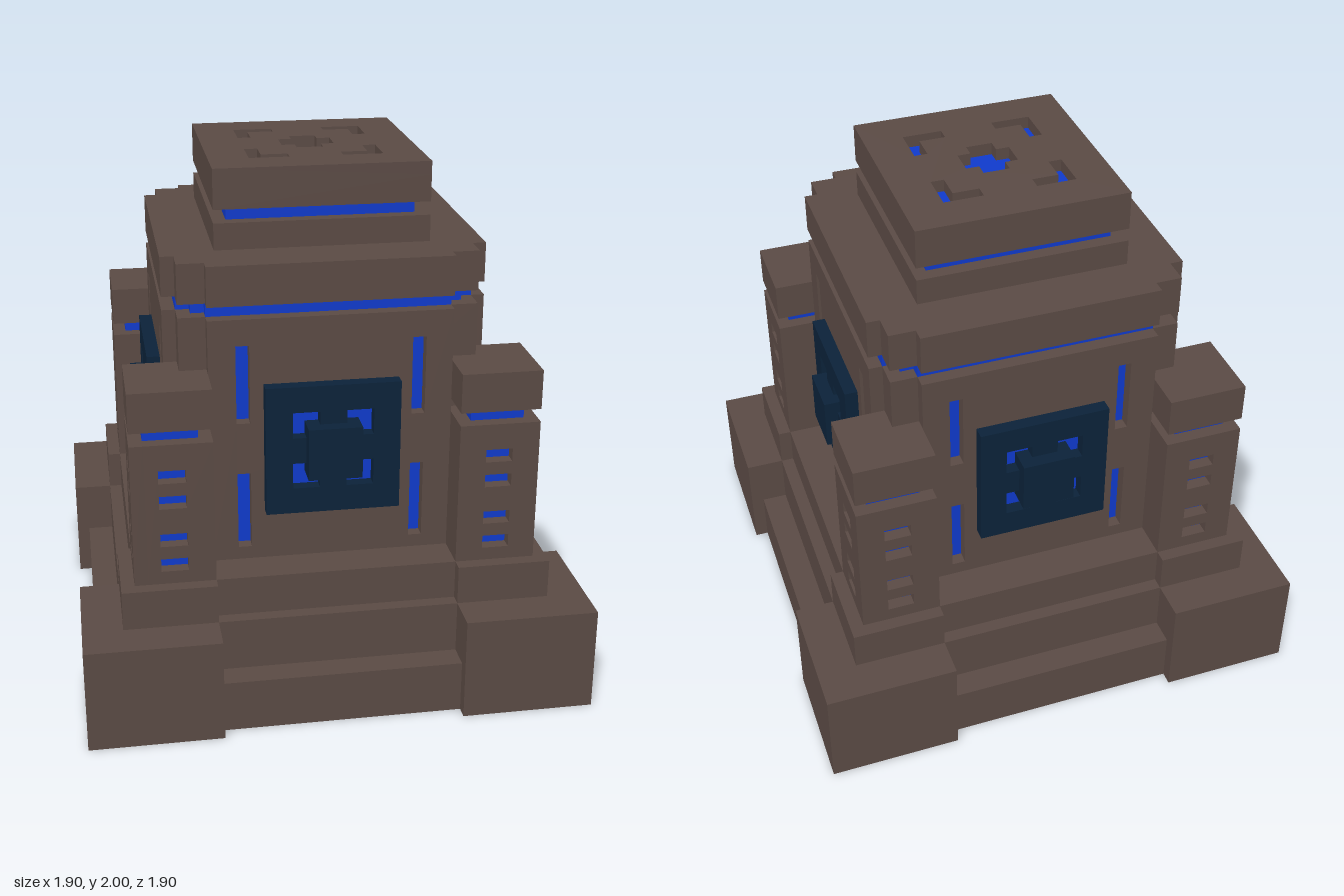
import * as THREE from 'three';

const mat = (name, color) => {
  const m = new THREE.MeshStandardMaterial({ color });
  m.name = name;
  return m;
};

// Points of a rectangle given by its limits
const rect = (x0, x1, y0, y1) => [[x0, y0], [x1, y0], [x1, y1], [x0, y1]];

// Four L-shaped corner brackets around (0, cy)
function brackets(inner, outer, arm, cy = 0) {
  const t = outer - arm;
  const pts = [[outer, outer], [inner, outer], [inner, t], [t, t], [t, inner], [outer, inner]];
  const list = [];
  for (const sx of [-1, 1]) for (const sy of [-1, 1]) {
    list.push(pts.map(([x, y]) => [x * sx, y * sy + cy]));
  }
  return list;
}

// Flat slab in the xy plane with cut-out holes, extruded towards +z
function slab(outline, holes, depth) {
  const v = (pts) => pts.map(([x, y]) => new THREE.Vector2(x, y));
  const shape = new THREE.Shape(v(outline));
  for (const h of holes) shape.holes.push(new THREE.Path(v(h)));
  return new THREE.ExtrudeGeometry(shape, { depth, bevelEnabled: false });
}

export function createModel() {
  const stone = mat('brown stone', 0x5a4a44);
  const glow = mat('blue glow', 0x0f3acb);
  const navy = mat('dark navy', 0x0b2239);
  const model = new THREE.Group();
  model.name = 'tower';

  const add = (parent, name, geometry, material) => {
    const m = new THREE.Mesh(geometry, material);
    m.name = name;
    parent.add(m);
    return m;
  };
  // Box given by its limits
  const box = (parent, name, material, x0, x1, y0, y1, z0, z1) => {
    const m = add(parent, name, new THREE.BoxGeometry(x1 - x0, y1 - y0, z1 - z0), material);
    m.position.set((x0 + x1) / 2, (y0 + y1) / 2, (z0 + z1) / 2);
    return m;
  };
  // Centred square block
  const block = (name, material, half, y0, y1) =>
    box(model, name, material, -half, half, y0, y1, -half, half);

  // Stepped base
  block('baseStepLower', stone, 0.9, 0, 0.2);
  block('baseStepMiddle', stone, 0.8, 0.2, 0.4);
  block('baseStepUpper', stone, 0.75, 0.4, 0.55);

  // Tower core, glowing band and shoulder
  block('core', stone, 0.55, 0.55, 1.5);
  block('bandCore', glow, 0.5, 1.5, 1.55);
  block('shoulder', stone, 0.55, 1.55, 1.7);

  // Neck and top cap with sunken glowing pattern
  block('neck', stone, 0.4, 1.7, 1.8);
  block('neckBand', glow, 0.35, 1.8, 1.85);
  block('cap', stone, 0.4, 1.85, 1.95);
  const a = 0.05, b = 0.1;
  const cross = [[b, -a], [b, a], [a, a], [a, b], [-a, b], [-a, a],
    [-b, a], [-b, -a], [-a, -a], [-a, -b], [a, -b], [a, -a]];
  const capTop = add(model, 'capTop',
    slab(rect(-0.4, 0.4, -0.4, 0.4), [cross, ...brackets(0.1, 0.25, 0.05)], 0.05), stone);
  capTop.rotation.x = -Math.PI / 2;
  capTop.position.y = 1.95;
  block('capGlow', glow, 0.26, 1.949, 1.953);

  // One side and one corner, repeated around the tower
  const slots = [];
  for (const x of [-0.35, 0.3]) for (const y of [0.6, 1.1]) slots.push([x, x + 0.05, y, y + 0.3]);
  const vents = [0.6, 0.7, 0.85, 0.95].map((y) => [0.55, 0.65, y, y + 0.05]);

  for (let i = 0; i < 4; i++) {
    const side = new THREE.Group();
    side.name = 'side' + (i + 1);
    side.rotation.y = i * Math.PI / 2;
    model.add(side);

    // Wall with tall glowing slots
    add(side, 'wall', slab(rect(-0.45, 0.45, 0.55, 1.5), slots.map((s) => rect(...s)), 0.05), stone)
      .position.z = 0.55;
    for (const s of slots) box(side, 'wallSlotGlow', glow, ...s, 0.549, 0.553);
    box(side, 'bandFace', glow, -0.45, 0.45, 1.5, 1.55, 0.5, 0.55);
    box(side, 'shoulderFace', stone, -0.45, 0.45, 1.55, 1.7, 0.55, 0.6);

    // Dark panel with glowing brackets and a raised centre
    add(side, 'panel', slab(rect(-0.25, 0.25, 0.75, 1.25), brackets(0.05, 0.15, 0.05, 1), 0.05), navy)
      .position.z = 0.6;
    box(side, 'panelGlow', glow, -0.16, 0.16, 0.84, 1.16, 0.599, 0.603);
    box(side, 'panelCentre', navy, -0.1, 0.1, 0.9, 1.1, 0.65, 0.7);

    // Corner foot and plinth
    box(side, 'cornerFoot', stone, 0.45, 0.95, 0, 0.4, 0.45, 0.95);
    box(side, 'cornerPlinth', stone, 0.45, 0.8, 0.4, 0.55, 0.45, 0.8);

    // Corner pillar with vents in both outer faces
    box(side, 'pillar', stone, 0.45, 0.7, 0.55, 1.1, 0.45, 0.7);
    const holes = vents.map((s) => rect(...s));
    add(side, 'pillarFace', slab(rect(0.45, 0.75, 0.55, 1.1), holes, 0.05), stone).position.z = 0.7;
    const flank = add(side, 'pillarFlank',
      slab(rect(-0.7, -0.45, 0.55, 1.1), holes.map((h) => h.map(([x, y]) => [-x, y])), 0.05), stone);
    flank.rotation.y = Math.PI / 2;
    flank.position.x = 0.7;
    for (const [u0, u1, y0, y1] of vents) {
      box(side, 'ventGlow', glow, u0, u1, y0, y1, 0.699, 0.703);
      box(side, 'ventGlow', glow, 0.699, 0.703, y0, y1, u0, u1);
    }
    box(side, 'pillarBand', glow, 0.5, 0.7, 1.1, 1.15, 0.5, 0.7);
    box(side, 'pillarCap', stone, 0.45, 0.75, 1.15, 1.3, 0.45, 0.75);
  }
  return model;
}
